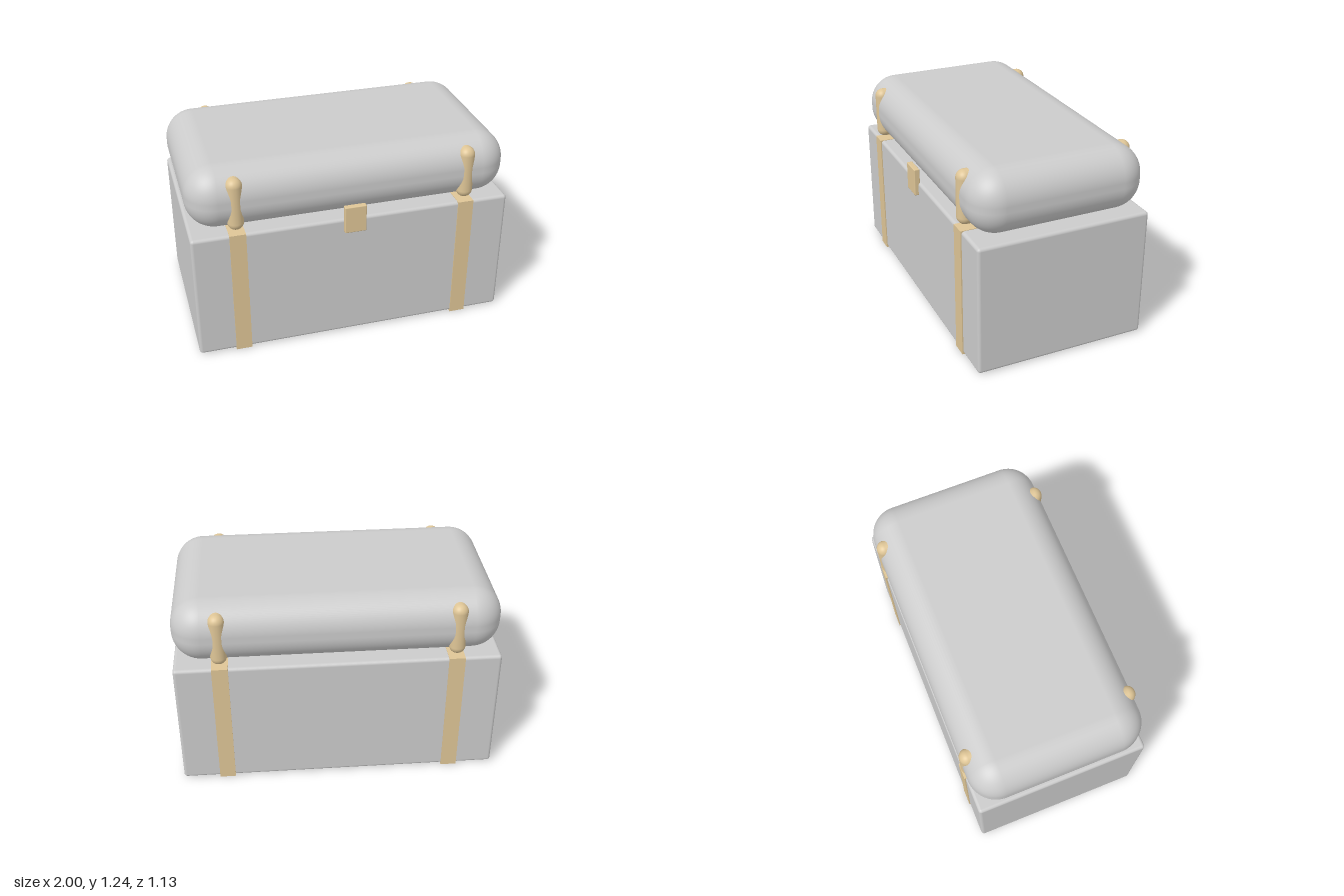
import * as THREE from 'three';
import { RoundedBoxGeometry } from 'three/addons/geometries/RoundedBoxGeometry.js';

const grey = new THREE.MeshStandardMaterial({ color: 0xcccccc });
const tan = new THREE.MeshStandardMaterial({ color: 0xdec596 });

// Box given by its [min, max] range on each axis; rounded when a radius is set
function block(name, material, [x0, x1], [y0, y1], [z0, z1], radius = 0, segments = 4) {
  const size = [x1 - x0, y1 - y0, z1 - z0];
  const geometry = radius
    ? new RoundedBoxGeometry(...size, segments, radius)
    : new THREE.BoxGeometry(...size);
  const mesh = new THREE.Mesh(geometry, material);
  mesh.name = name;
  mesh.position.set((x0 + x1) / 2, (y0 + y1) / 2, (z0 + z1) / 2);
  return mesh;
}

export function createModel() {
  const chest = new THREE.Group();
  chest.name = 'chest';

  // Base with softened edges and a pillow-like lid
  chest.add(block('base', grey, [-1, 1], [0.005, 0.842], [-0.558, 0.542], 0.02));
  chest.add(block('lid', grey, [-1, 1], [0.845, 1.243], [-0.558, 0.542], 0.18, 10));

  // Straps: flat bands round the base, rounded ones sunk into the lid
  for (const [side, x] of [['left', 0.72], ['right', -0.72]]) {
    const width = [x - 0.05, x + 0.05];
    chest.add(block(side + 'BaseStrap', tan, width, [0, 0.845], [-0.565, 0.549]));
    chest.add(block(side + 'LidStrap', tan, width, [0.865, 1.203], [-0.565, 0.549], 0.049, 8));
  }

  // Front clasp bridging the seam
  chest.add(block('clasp', tan, [-0.069, 0.067], [0.756, 0.934], [0.53, 0.567], 0.006, 2));

  return chest;
}
